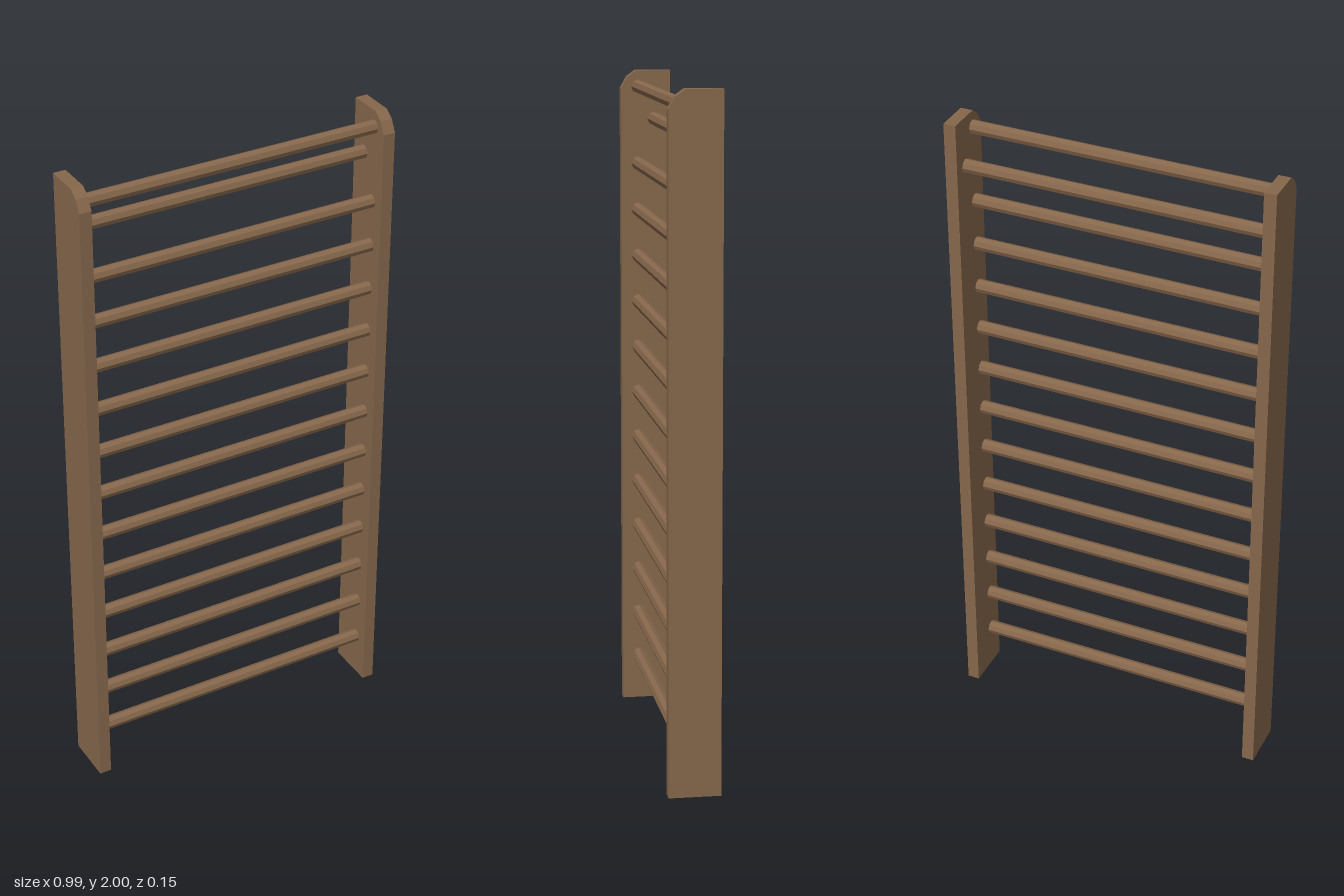
import * as THREE from 'three';

export function createModel() {
  const model = new THREE.Group();
  model.name = 'wallBars';
  const wood = new THREE.MeshStandardMaterial({ color: 0x86674b });
  wood.name = 'brown wood';
  wood.flatShading = true;

  // Upright side boards: profile in (z, y) with a faceted round on the front top corner
  const inner = 0.458, outer = 0.495, halfDepth = 0.076;
  const profile = new THREE.Shape([
    [-halfDepth, 0], [halfDepth, 0], [halfDepth, 1.945],
    [0.057, 1.98], [0.03, 2], [-halfDepth, 2],
  ].map(([z, y]) => new THREE.Vector2(-z, y)));
  const boardGeometry = new THREE.ExtrudeGeometry(profile, { depth: outer - inner, bevelEnabled: false });
  boardGeometry.rotateY(Math.PI / 2); // extrusion runs along +x, front along +z
  for (const [name, x] of [['leftUpright', inner], ['rightUpright', -outer]]) {
    const board = new THREE.Mesh(boardGeometry, wood);
    board.name = name;
    board.position.x = x;
    model.add(board);
  }

  // Eight-sided rungs between the boards
  const rungGeometry = new THREE.CylinderGeometry(0.0205, 0.0205, inner * 2 + 0.01, 8);
  rungGeometry.rotateZ(Math.PI / 2);
  const addRung = (name, y, z) => {
    const rung = new THREE.Mesh(rungGeometry, wood);
    rung.name = name;
    rung.position.set(0, y, z);
    model.add(rung);
  };
  for (let i = 1; i <= 12; i++) addRung(`rung${i}`, 0.001 + i * 0.143, 0.025);
  addRung('setBackRung', 1.853, -0.025);
  addRung('topRung', 1.952, 0.025);

  return model;
}
